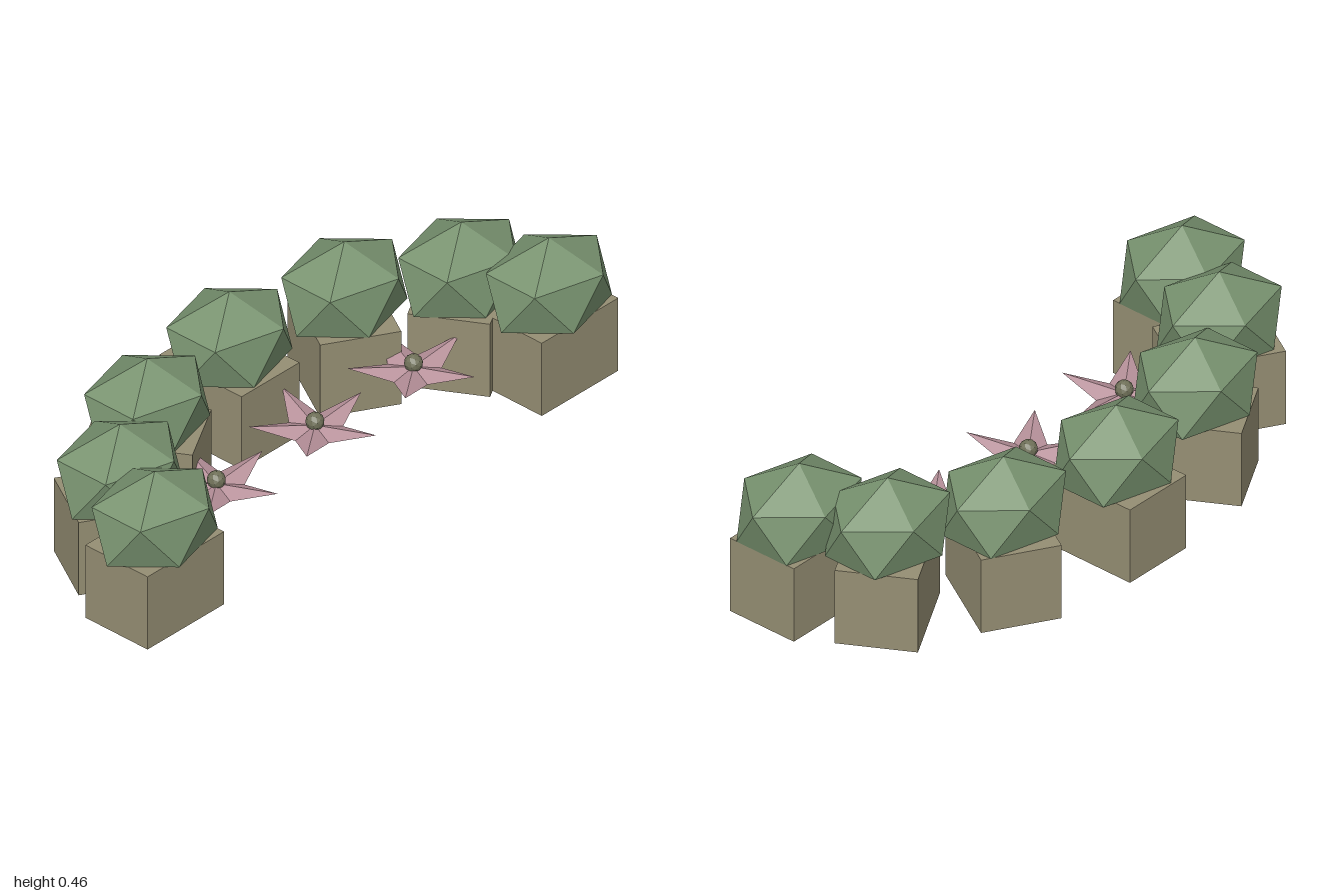
import * as THREE from 'three';

const material = (name, color, side = THREE.FrontSide) =>
  Object.assign(new THREE.MeshStandardMaterial({ color, flatShading: true, side }), { name });

// Icosahedron standing on a corner, with an upper-ring corner toward +x
function uprightIcosahedron(sx, sy, sz) {
  const phi = (1 + Math.sqrt(5)) / 2;
  return new THREE.IcosahedronGeometry(1, 0)
    .rotateX(-Math.atan(phi)).rotateY(Math.PI / 2).scale(sx, sy, sz);
}

// Five-pointed blossom: raised tips, low notches, a ridge along each petal
function starGeometry(tipR, notchR, tipY, notchY, centreY) {
  const ring = (r, y, a) => [r * Math.cos(a), y, r * Math.sin(a)];
  const positions = [];
  for (let i = 0; i < 5; i++) {
    const a = (i * 2 * Math.PI) / 5, h = Math.PI / 5;
    const centre = [0, centreY, 0];
    const tip = ring(tipR, tipY, a);
    const before = ring(notchR, notchY, a - h);
    const after = ring(notchR, notchY, a + h);
    positions.push(...centre, ...tip, ...before, ...centre, ...after, ...tip);
  }
  const geometry = new THREE.BufferGeometry();
  geometry.setAttribute('position', new THREE.Float32BufferAttribute(positions, 3));
  geometry.computeVertexNormals();
  return geometry;
}

export function createModel() {
  const model = new THREE.Group();
  model.name = 'shrubAndFlowerArc';

  const stone = material('planterTan', 0x958e73);
  const leaf = material('leafGreen', 0x78926f);
  const pink = material('petalPink', 0xb8929b, THREE.DoubleSide);
  const olive = material('flowerCentreOlive', 0x6f7058);

  const add = (parent, name, geometry, mat, x, y, z) => {
    const mesh = new THREE.Mesh(geometry, mat);
    mesh.name = name;
    mesh.position.set(x, y, z);
    parent.add(mesh);
    return mesh;
  };

  // Seven shrubs on boxes along half an ellipse; boxes turn with the arc
  const boxGeometry = new THREE.BoxGeometry(0.236, 0.242, 0.312);
  const bushGeometry = uprightIcosahedron(0.218, 0.154, 0.1764);
  for (let i = -3; i <= 3; i++) {
    const a = (i * Math.PI) / 6;
    const shrub = new THREE.Group();
    shrub.name = 'shrub';
    shrub.position.set(0.804 * Math.sin(a), 0, 0.235 - 0.465 * Math.cos(a));
    add(shrub, 'planterBox', boxGeometry, stone, 0, 0.121, 0).rotation.y = -a;
    add(shrub, 'bush', bushGeometry, leaf, 0, 0.311, 0);
    model.add(shrub);
  }

  // Three flowers in a row inside the arc
  const petals = starGeometry(0.188, 0.08, 0.185, 0.153, 0.167);
  const centre = new THREE.IcosahedronGeometry(0.027, 1);
  for (const x of [-0.402, 0, 0.402]) {
    const flower = new THREE.Group();
    flower.name = 'flower';
    flower.position.set(x, 0, 0.095);
    add(flower, 'petals', petals, pink, 0, 0, 0);
    add(flower, 'flowerCentre', centre, olive, 0, 0.18, 0);
    model.add(flower);
  }
  return model;
}
